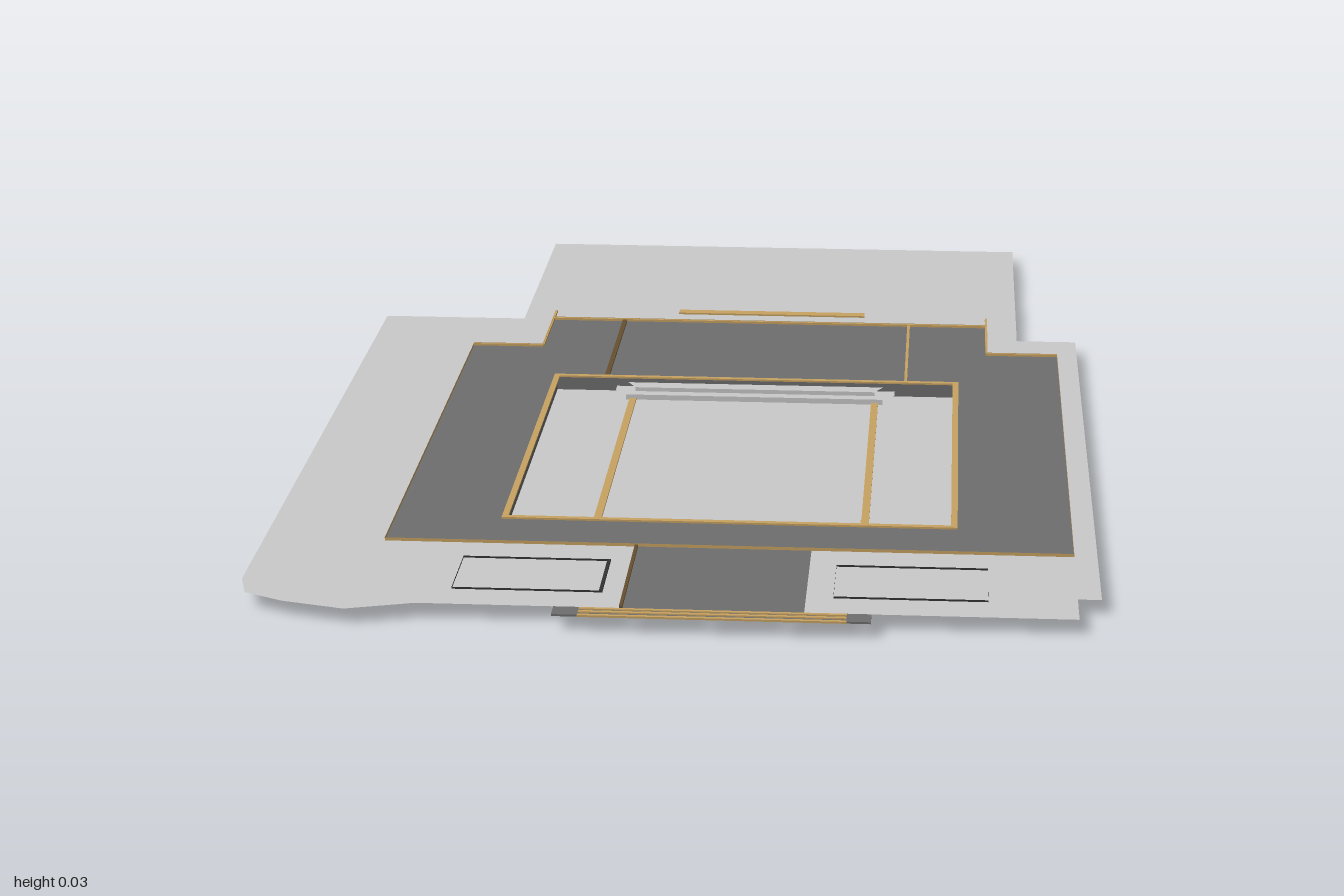
import * as THREE from 'three';

const mat = (name, color) => {
  const m = new THREE.MeshStandardMaterial({ color, side: THREE.DoubleSide });
  m.name = name;
  return m;
};

export function createModel() {
  const model = new THREE.Group();
  model.name = 'sunkenTerrace';
  const paving = mat('lightPaving', 0xcacaca);
  const deckGrey = mat('darkDeck', 0x6e6e6e);
  const tan = mat('tanTrim', 0xc8a362);
  const brown = mat('brownTrim', 0x66502f);
  const black = mat('darkOutline', 0x333333);
  const Y = 0.024; // ground level

  const add = (name, geometry, material) => {
    const mesh = new THREE.Mesh(geometry, material);
    mesh.name = name;
    model.add(mesh);
    return mesh;
  };
  // Flat polygon given as [x, z] points, facing up
  const toPath = (pts) => pts.map(([x, z]) => new THREE.Vector2(x, -z));
  const sheet = (name, pts, y, material, hole) => {
    const shape = new THREE.Shape(toPath(pts));
    if (hole) shape.holes.push(new THREE.Path(toPath(hole)));
    const g = new THREE.ShapeGeometry(shape).rotateX(-Math.PI / 2);
    return add(name, g.translate(0, y, 0), material);
  };
  // Box from its extents
  const slab = (name, x0, x1, y0, y1, z0, z1, material) =>
    add(name, new THREE.BoxGeometry(x1 - x0, y1 - y0, z1 - z0)
      .translate((x0 + x1) / 2, (y0 + y1) / 2, (z0 + z1) / 2), material);
  const rect = (x0, x1, z0, z1) => [[x0, z0], [x1, z0], [x1, z1], [x0, z1]];
  // Upright faces along a closed outline
  const upright = (name, pts, y0, y1, material) => pts.forEach(([x, z], i) => {
    const [x2, z2] = pts[(i + 1) % pts.length];
    const g = new THREE.PlaneGeometry(Math.hypot(x2 - x, z2 - z), y1 - y0);
    g.rotateY(-Math.atan2(z2 - z, x2 - x));
    add(name, g.translate((x + x2) / 2, (y0 + y1) / 2, (z + z2) / 2), material);
  });

  // Dark deck with the path to the front, and the paving that wraps around it
  const deck = [[0.2, 0.96], [0.2, 0.705], [0.595, 0.705], [0.595, -0.31], [0.47, -0.31],
    [0.47, -0.48], [-0.325, -0.48], [-0.325, -0.31], [-0.45, -0.31], [-0.45, 0.705],
    [-0.065, 0.705], [-0.065, 0.96]];
  const pool = rect(-0.28, 0.415, -0.135, 0.592);
  sheet('deck', deck, Y, deckGrey, pool);
  sheet('paving', [[-0.38, -1], [0.525, -1], [0.525, -0.4], [0.63, -0.4], [0.63, 0.88],
    [0.595, 0.88], [0.595, 0.96], ...deck, [-0.365, 0.96], [-0.465, 0.99], [-0.56, 0.965],
    [-0.62, 0.935], [-0.635, 0.88], [-0.635, -0.48], [-0.38, -0.48]], Y, paving);

  // Sunken basin
  upright('basinWall', pool, 0, Y, deckGrey);
  sheet('basinFloor', pool, 0, paving);

  // Rear bench with cut corners, in two steps
  sheet('rearBench', [[-0.175, -0.134], [0.31, -0.134], [0.31, -0.11], [0.29, -0.086],
    [-0.155, -0.086], [-0.175, -0.11]], 0.009, paving);
  sheet('rearBenchBack', [[-0.155, -0.134], [0.29, -0.134], [0.275, -0.106],
    [-0.14, -0.106]], 0.016, paving);
  slab('rearBenchRiser', -0.155, 0.29, 0, 0.009, -0.089, -0.086, paving);
  slab('rearBackRiser', -0.14, 0.275, 0.009, 0.016, -0.109, -0.106, paving);
  // Front steps
  slab('frontLowerStep', -0.275, 0.41, 0, 0.008, 0.545, 0.59, paving);
  slab('frontUpperStep', -0.275, 0.41, 0.008, 0.016, 0.573, 0.59, paving);

  // Tan rim around the basin
  const w = 0.01;
  for (const z of [-0.14, 0.587]) slab('basinRim', -0.285, 0.42, Y, Y + 0.003, z, z + w, tan);
  for (const x of [-0.285, 0.41]) slab('basinRim', x, x + w, Y, Y + 0.003, -0.14, 0.597, tan);

  // Floor strips
  slab('floorStrip', -0.149, -0.137, 0, 0.003, -0.085, 0.545, tan);
  slab('floorStrip', 0.27, 0.282, 0, 0.003, -0.085, 0.545, tan);
  slab('floorStripEnd', 0.27, 0.282, 0.016, 0.018, 0.545, 0.59, tan);

  // Edging along the deck
  upright('deckEdge', deck.slice(1, 11), Y, Y + 0.005, tan);
  slab('rearEdge', -0.325, 0.47, Y, Y + 0.004, -0.482, -0.476, tan);
  for (const [x0, x1] of [[-0.45, -0.325], [0.47, 0.595]])
    slab('shoulderEdge', x0, x1, Y, Y + 0.004, -0.313, -0.307, tan);
  for (const x of [-0.325, 0.47])
    slab('sideEdge', x - 0.002, x + 0.002, Y, Y + 0.004, -0.525, -0.31, tan);
  slab('deckJoint', -0.197, -0.189, Y, Y + 0.003, -0.478, -0.137, brown);
  slab('deckJoint', 0.326, 0.331, Y, Y + 0.003, -0.478, -0.137, tan);
  slab('pathEdge', -0.068, -0.063, Y, Y + 0.003, 0.705, 0.96, brown);
  slab('rearStrip', -0.097, 0.246, Y - 0.001, Y + 0.003, -0.548, -0.528, tan);

  // Threshold at the front of the path
  slab('threshold', -0.163, 0.297, Y - 0.002, Y + 0.001, 0.962, 0.993, deckGrey);
  for (const z of [0.967, 0.979, 0.993])
    slab('thresholdStrip', -0.125, 0.262, Y, Y + 0.003, z, z + 0.006, tan);

  // Outlined beds on both sides of the path
  for (const [x0, x1] of [[-0.32, -0.1], [0.24, 0.465]])
    upright('bedOutline', rect(x0, x1, 0.77, 0.9), Y - 0.002, Y + 0.003, black);
  slab('bedEdge', -0.103, -0.098, Y, Y + 0.003, 0.77, 0.9, black);

  return model;
}
